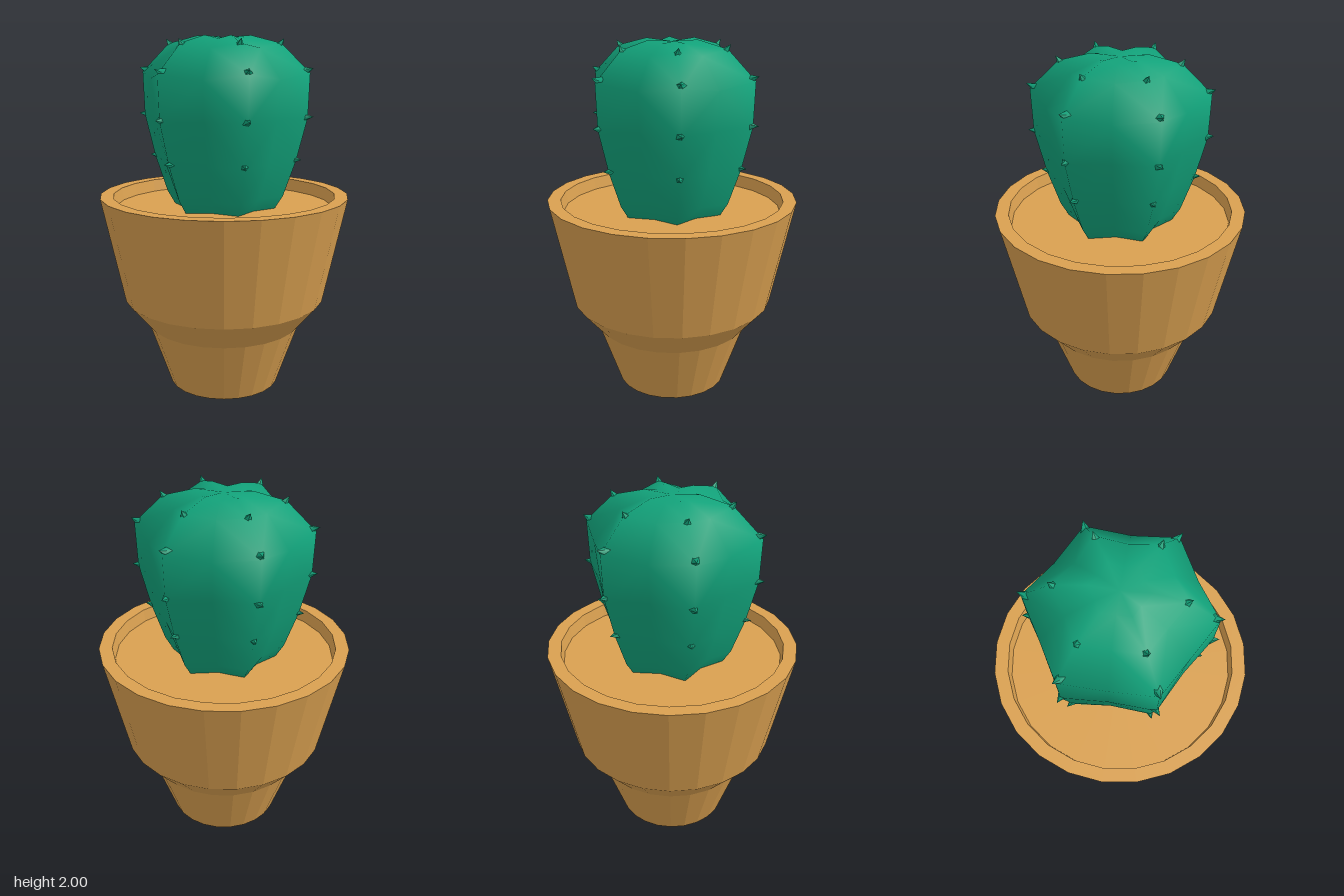
import * as THREE from 'three';

const RIBS = 6;
// Rib crest and groove outlines as [radius, height], from soil to crown
const CREST = [[0.29, 1.04], [0.34, 1.12], [0.41, 1.32], [0.47, 1.56], [0.478, 1.8], [0.32, 1.955], [0.15, 1.998]];
const GROOVE = [[0.22, 1.04], [0.27, 1.12], [0.34, 1.32], [0.395, 1.56], [0.41, 1.77], [0.27, 1.93], [0.12, 1.98]];
// Spike seats: crest radius, height, upward tilt
const SPIKES = [[0.41, 1.33, 0], [0.47, 1.565, 0.05], [0.467, 1.815, 0.35], [0.315, 1.955, 0.95]];

// Ribbed body: closed rings alternating crest and groove, joined to a crown point
function bodyGeometry() {
  const n = RIBS * 2, pos = [], index = [];
  CREST.forEach((crest, k) => {
    for (let i = 0; i < n; i++) {
      const [r, y] = i % 2 ? GROOVE[k] : crest;
      const a = (i / n) * Math.PI * 2;
      pos.push(r * Math.sin(a), y, r * Math.cos(a));
    }
  });
  const crown = pos.length / 3;
  pos.push(0, 1.985, 0);
  for (let k = 0; k < CREST.length; k++) {
    for (let i = 0; i < n; i++) {
      const j = (i + 1) % n, a = k * n + i, b = k * n + j;
      if (k === CREST.length - 1) index.push(a, b, crown);
      // Split each quad so that left and right flanks mirror each other
      else if (i % 2) index.push(a, b, a + n, b, b + n, a + n);
      else index.push(a, b, b + n, a, b + n, a + n);
    }
  }
  const g = new THREE.BufferGeometry();
  g.setAttribute('position', new THREE.Float32BufferAttribute(pos, 3));
  g.setIndex(index);
  g.computeVertexNormals();
  return g;
}

export function createModel() {
  const model = new THREE.Group();
  model.name = 'pottedCactus';
  const clay = new THREE.MeshStandardMaterial({ color: 0xd9a050, flatShading: true });
  const green = new THREE.MeshStandardMaterial({ color: 0x12a27a });

  const add = (parent, geometry, material, name) => {
    const mesh = new THREE.Mesh(geometry, material);
    mesh.name = name;
    parent.add(mesh);
    return mesh;
  };

  // Pot: closed base, flared foot, sloping shoulder, collar and rim, with the soil as its inner floor
  const profile = [[0, 0], [0.315, 0], [0.44, 0.36], [0.575, 0.52], [0.702, 1.12], [0.628, 1.12], [0.615, 1.05]];
  add(model, new THREE.LatheGeometry(profile.map(([x, y]) => new THREE.Vector2(x, y)), 24), clay, 'pot');
  const soil = add(model, new THREE.CircleGeometry(0.615, 24), clay, 'soil');
  soil.rotation.x = -Math.PI / 2;
  soil.position.y = 1.05;

  // Cactus body
  const cactus = new THREE.Group();
  cactus.name = 'cactus';
  model.add(cactus);
  add(cactus, bodyGeometry(), green, 'cactusBody');

  // Stubby spikes along every rib
  const spikeGeometry = new THREE.ConeGeometry(0.036, 0.075, 5);
  spikeGeometry.translate(0, 0.0, 0);
  const up = new THREE.Vector3(0, 1, 0);
  for (let i = 0; i < RIBS; i++) {
    const a = (i / RIBS) * Math.PI * 2;
    SPIKES.forEach(([r, y, tilt], k) => {
      const spike = add(cactus, spikeGeometry, green, 'spike');
      const turn = a + (k % 2 ? 0.12 : -0.12);
      const out = new THREE.Vector3(Math.sin(turn) * Math.cos(tilt), Math.sin(tilt), Math.cos(turn) * Math.cos(tilt));
      spike.position.set(r * Math.sin(a), y, r * Math.cos(a)).addScaledVector(out, -0.006);
      spike.quaternion.setFromUnitVectors(up, out);
    });
  }
  return model;
}
